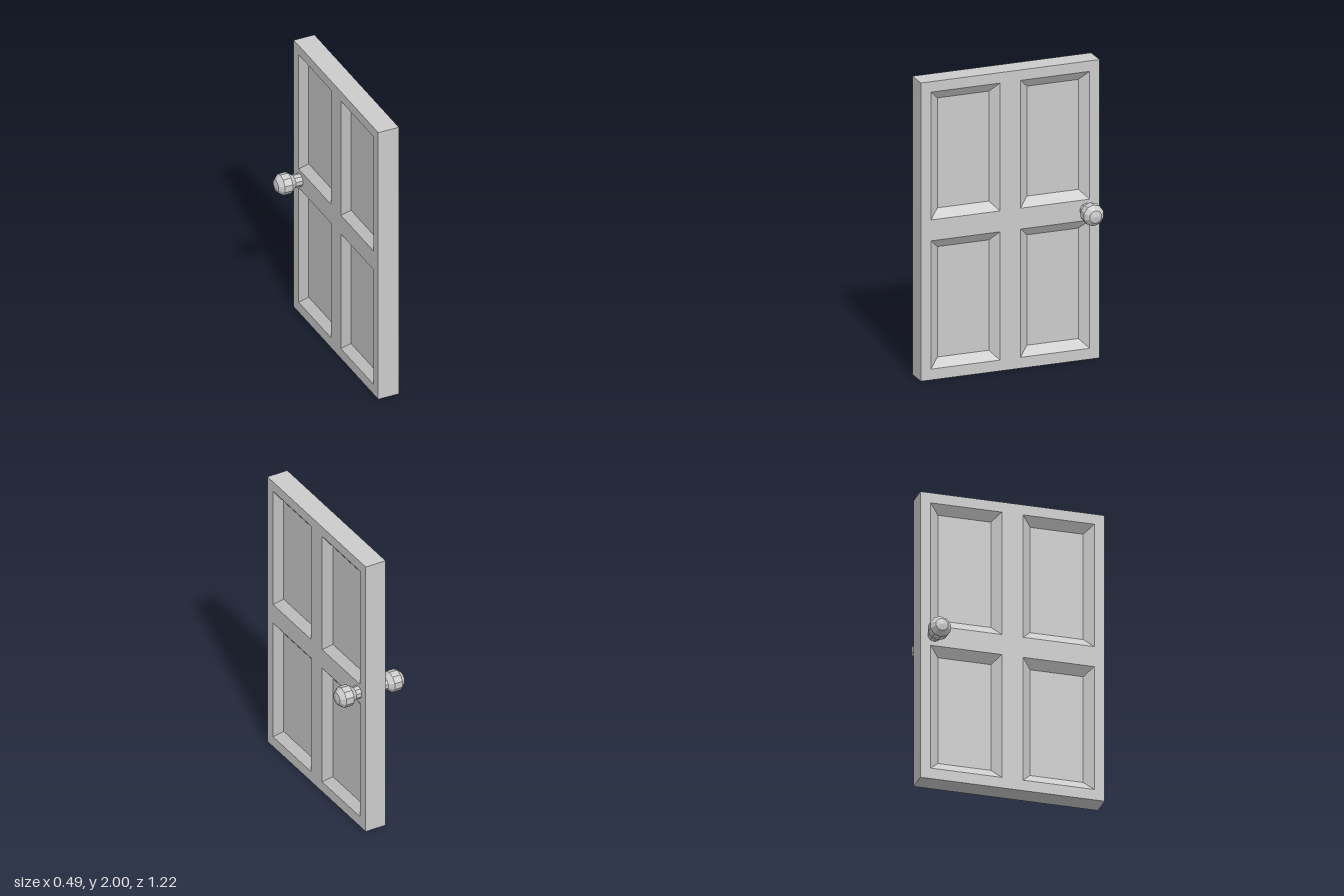
import * as THREE from 'three';

const HALF_T = 0.073, HALF_W = 0.612, HEIGHT = 2; // door leaf
const BEVEL = 0.06, DEPTH = 0.043;                // recessed panels
const DOOR_X = 0.006;

const material = new THREE.MeshStandardMaterial({ color: 0xcccccc, flatShading: true });

function addMesh(parent, name, geometry) {
  const mesh = new THREE.Mesh(geometry, material);
  mesh.name = name;
  parent.add(mesh);
  return mesh;
}

// Corners of a rectangle, counter-clockwise
const corners = ({ x0, x1, y0, y1 }) => [[x0, y0], [x1, y0], [x1, y1], [x0, y1]];
const toPoints = (rect) => corners(rect).map(([x, y]) => new THREE.Vector2(x, y));

// Four quads joining an outer rectangle at depth za to an inner one at zb
function rectBand(a, za, b, zb) {
  const A = corners(a), B = corners(b), pos = [];
  for (let i = 0; i < 4; i++) {
    const j = (i + 1) % 4;
    const p = [...A[i], za], q = [...A[j], za], r = [...B[j], zb], s = [...B[i], zb];
    pos.push(...p, ...q, ...r, ...p, ...r, ...s);
  }
  const geometry = new THREE.BufferGeometry();
  geometry.setAttribute('position', new THREE.Float32BufferAttribute(pos, 3));
  geometry.computeVertexNormals();
  return geometry;
}

const outline = { x0: -HALF_W, x1: HALF_W, y0: 0, y1: HEIGHT };
const panels = [];
for (const [x0, x1] of [[-0.543, -0.07], [0.07, 0.543]]) {
  for (const [y0, y1] of [[0.073, 0.933], [1.073, 1.93]]) panels.push({ x0, x1, y0, y1 });
}

// One broad face of the door: frame with four sunken panels, facing local +z
function createFace() {
  const face = new THREE.Group();
  const shape = new THREE.Shape(toPoints(outline));
  for (const panel of panels) shape.holes.push(new THREE.Path(toPoints(panel)));
  addMesh(face, 'faceFrame', new THREE.ShapeGeometry(shape)).position.z = HALF_T;

  for (const p of panels) {
    const inner = { x0: p.x0 + BEVEL, x1: p.x1 - BEVEL, y0: p.y0 + BEVEL, y1: p.y1 - BEVEL };
    addMesh(face, 'panelBevel', rectBand(p, HALF_T, inner, HALF_T - DEPTH));
    const floor = new THREE.ShapeGeometry(new THREE.Shape(toPoints(inner)));
    addMesh(face, 'panelFloor', floor).position.z = HALF_T - DEPTH;
  }
  return face;
}

// Ten-sided knob turned along +x
function createKnobGeometry() {
  const profile = [
    [0.044, 0.06], [0.044, 0.117], [0.071, 0.15], [0.071, 0.206], [0.042, 0.238], [0, 0.247],
  ].map(([r, h]) => new THREE.Vector2(r, h));
  return new THREE.LatheGeometry(profile, 10, Math.PI / 2).rotateZ(-Math.PI / 2);
}

export function createModel() {
  const model = new THREE.Group();
  model.name = 'door';

  // Door leaf: narrow edges and two panelled faces
  const leaf = new THREE.Group();
  leaf.name = 'doorLeaf';
  leaf.position.x = DOOR_X;
  leaf.rotation.y = Math.PI / 2;
  addMesh(leaf, 'doorEdges', rectBand(outline, -HALF_T, outline, HALF_T));
  for (const side of [0, 1]) {
    const face = createFace();
    face.name = side ? 'rightFace' : 'leftFace';
    face.rotation.y = side * Math.PI;
    leaf.add(face);
  }
  model.add(leaf);

  // A knob on each side
  const knobGeometry = createKnobGeometry();
  for (const side of [0, 1]) {
    const knob = addMesh(model, side ? 'rightKnob' : 'leftKnob', knobGeometry);
    knob.position.set(0, 1.006, -0.52);
    knob.rotation.y = side * Math.PI;
  }
  return model;
}
